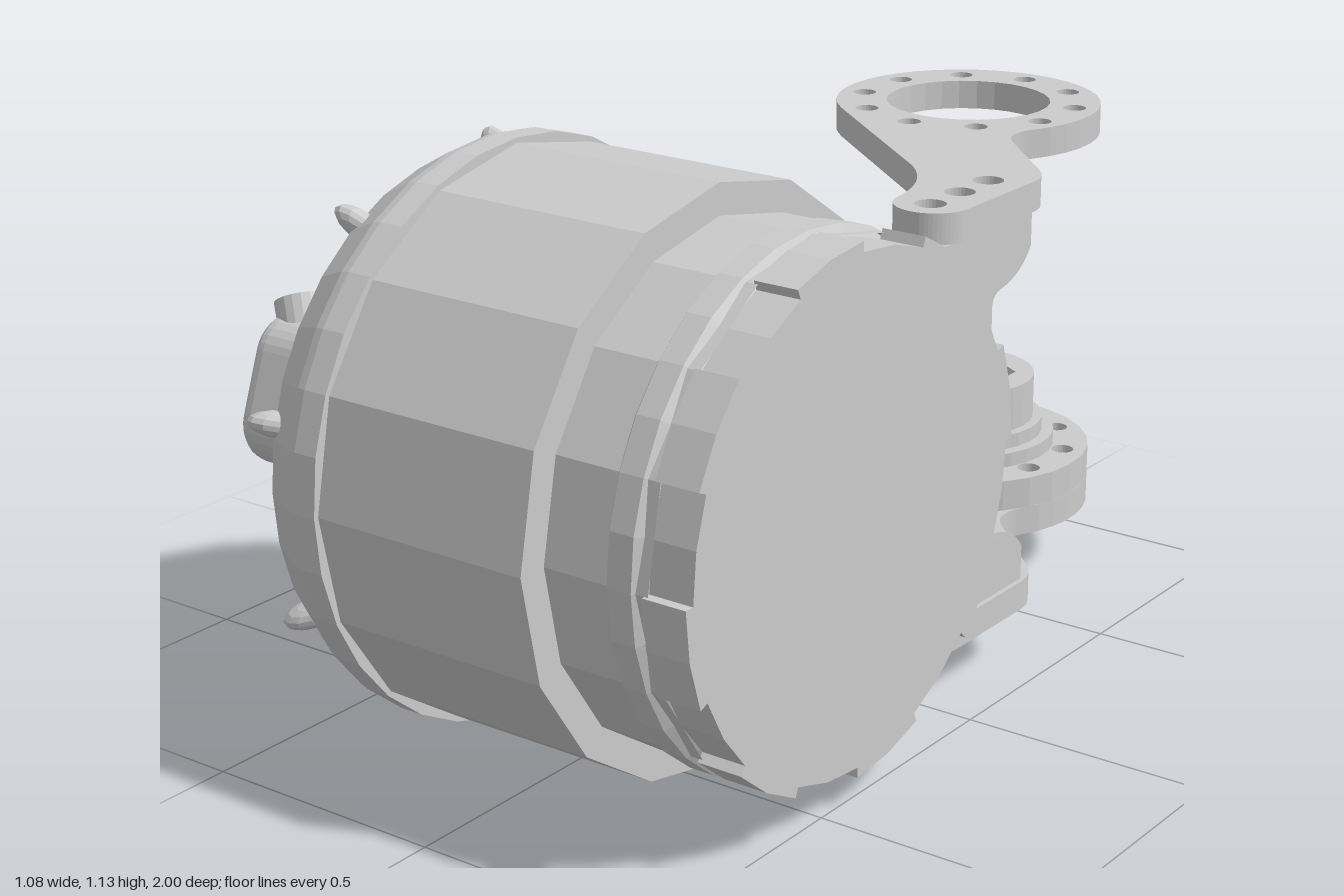
import * as THREE from 'three';

const CY = 0.565, CZ = 0.435; // motor axis, running along x
const RX = 0.012, RZ = -0.725; // mounting ring axis, running along y
const grey = new THREE.MeshStandardMaterial({ color: 0xcccccc, flatShading: true, side: THREE.DoubleSide });
const green = new THREE.MeshStandardMaterial({ color: 0x3f9a35 });
const rad = THREE.MathUtils.degToRad;

function add(parent, name, geo, mat = grey) {
  const m = new THREE.Mesh(geo, mat);
  m.name = name;
  parent.add(m);
  return m;
}

// Solid of revolution about x from [x, radius] pairs
function turned(pts, sides) {
  return new THREE.LatheGeometry(pts.map(([x, r]) => new THREE.Vector2(r, x)), sides).rotateZ(-Math.PI / 2);
}

function hole(shape, x, y, r, sides = 0) {
  const p = new THREE.Path();
  if (sides) {
    for (let i = 0; i < sides; i++) {
      const a = rad(90) - i / sides * Math.PI * 2;
      p[i ? 'lineTo' : 'moveTo'](x + r * Math.cos(a), y + r * Math.sin(a));
    }
    p.closePath();
  } else p.absarc(x, y, r, 0, Math.PI * 2, true);
  shape.holes.push(p);
}

// Upward slab drawn in (x, -z)
function slab(shape, y0, y1) {
  return new THREE.ExtrudeGeometry(shape, { depth: y1 - y0, bevelEnabled: false, curveSegments: 14 })
    .rotateX(-Math.PI / 2).translate(0, y0, 0);
}

function ringHoles(s) {
  hole(s, RX, -RZ, 0.17);
  for (let i = 0; i < 10; i++) {
    const a = rad(90 + i * 36);
    hole(s, RX + 0.225 * Math.cos(a), -RZ + 0.225 * Math.sin(a), 0.024);
  }
}

function disc(r) {
  const s = new THREE.Shape();
  s.absarc(RX, -RZ, r, 0, Math.PI * 2);
  return s;
}

// Arm: drilled ring, diagonal neck and rounded foot
function armShape() {
  const s = new THREE.Shape();
  s.absarc(RX, -RZ, 0.275, rad(-30), rad(230));
  s.lineTo(0.2, 0.22);
  s.quadraticCurveTo(0.29, 0.14, 0.305, 0.02);
  s.absarc(0.38, 0.02, 0.075, Math.PI, Math.PI * 2);
  s.lineTo(0.455, 0.25);
  s.quadraticCurveTo(0.455, 0.30, 0.41, 0.34);
  s.lineTo(0.27, 0.48);
  s.quadraticCurveTo(0.22, 0.53, RX + 0.275 * Math.cos(rad(-30)), -RZ + 0.275 * Math.sin(rad(-30)));
  ringHoles(s);
  for (const y of [0.01, 0.11, 0.21]) hole(s, 0.38, y, 0.03);
  return s;
}

function buildMotor() {
  const g = new THREE.Group();
  g.name = 'motor';
  g.position.set(0, CY, CZ);
  add(g, 'housing', turned([[-0.25, 0.4], [-0.23, 0.555], [0.23, 0.555], [0.23, 0.4]], 16));
  add(g, 'neck', turned([[0.2, 0.495], [0.45, 0.495]], 16));
  add(g, 'collar', turned([[0.36, 0.49], [0.37, 0.502], [0.42, 0.502], [0.44, 0.47]], 32));

  // Rear cap with a sunken fan well
  add(g, 'rearCap', turned([[-0.37, 0], [-0.37, 0.19], [-0.455, 0.2], [-0.46, 0.22], [-0.455, 0.42], [-0.44, 0.45],
    [-0.38, 0.515], [-0.3, 0.56], [-0.28, 0.565], [-0.23, 0.565], [-0.23, 0.5]], 32));
  add(g, 'fanHub', turned([[-0.44, 0], [-0.44, 0.06], [-0.36, 0.065]], 20));
  for (let i = 0; i < 11; i++) {
    const blade = new THREE.BoxGeometry(0.01, 0.13, 0.06).rotateY(rad(40)).translate(-0.405, 0.12, 0);
    add(g, 'fanBlade', blade.rotateX(i / 11 * Math.PI * 2));
  }

  // Notched end disc
  const s = new THREE.Shape(), n = 16;
  for (let i = 0; i < n; i++) {
    const r = i % 2 ? 0.482 : 0.502;
    for (let k = 0; k <= 2; k++) {
      const a = (i + k / 2) / n * Math.PI * 2;
      s[i + k ? 'lineTo' : 'moveTo'](r * Math.cos(a), r * Math.sin(a));
    }
  }
  const end = new THREE.ExtrudeGeometry(s, { depth: 0.09, bevelEnabled: false });
  add(g, 'endDisc', end.rotateY(Math.PI / 2).translate(0.443, 0, 0));

  // Oval lugs around the cap's slope
  for (let i = 0; i < 8; i++) {
    const lug = new THREE.SphereGeometry(1, 12, 8).scale(0.06, 0.025, 0.03);
    lug.rotateY(rad(40)).translate(-0.375, 0, 0.505);
    add(g, 'lug', lug.rotateX(-rad(14 + i * 45)));
  }

  // Cable outlets: rounded bodies with an open socket at one end
  for (const [deg, r] of [[20, 0.37], [124, 0.43], [230, 0.39]]) {
    const o = new THREE.Group();
    o.name = 'cableOutlet';
    const st = new THREE.Shape();
    st.absarc(0.06, 0, 0.045, -Math.PI / 2, Math.PI / 2);
    st.absarc(-0.06, 0, 0.045, Math.PI / 2, Math.PI * 1.5);
    const body = new THREE.ExtrudeGeometry(st, {
      depth: 0.14, bevelThickness: 0.035, bevelSize: 0.035, bevelSegments: 4, curveSegments: 8
    });
    add(o, 'outletBody', body.rotateY(-Math.PI / 2).rotateX(-rad(90)).translate(-0.36, 0, 0));
    const socket = new THREE.LatheGeometry([[0.05, -0.06], [0.055, 0.06], [0.04, 0.06], [0.04, 0], [0, 0]]
      .map(p => new THREE.Vector2(...p)), 20);
    add(o, 'socket', socket.rotateZ(rad(25)).translate(-0.475, 0.11, 0));
    o.position.set(0, r * Math.sin(rad(deg)), r * Math.cos(rad(deg)));
    o.rotation.x = -rad(deg);
    g.add(o);
  }

  // Two rows of indicator lights on the rear face
  for (const mid of [-72, -35]) for (let i = -1; i <= 1; i++) {
    const light = new THREE.BoxGeometry(0.014, 0.055, 0.04).translate(-0.457, 0, 0.37);
    add(g, 'indicatorLight', light.rotateX(-rad(mid + i * 10)), green);
  }
  return g;
}

function buildBracket() {
  const g = new THREE.Group();
  g.name = 'bracket';
  add(g, 'upperArm', slab(armShape(), 0.945, 1.005));
  add(g, 'lowerArm', slab(armShape(), 0.13, 0.19));

  // Upright with flared ears, drawn in (-z, y)
  const s = new THREE.Shape();
  s.moveTo(-0.055, 0.19);
  s.lineTo(0.265, 0.19);
  s.lineTo(0.265, 0.26);
  s.quadraticCurveTo(0.23, 0.31, 0.16, 0.32);
  s.quadraticCurveTo(0.13, 0.325, 0.13, 0.35);
  s.lineTo(0.13, 0.785);
  s.quadraticCurveTo(0.13, 0.81, 0.16, 0.815);
  s.quadraticCurveTo(0.23, 0.825, 0.265, 0.875);
  s.lineTo(0.265, 0.945);
  s.lineTo(-0.055, 0.945);
  s.closePath();
  const up = new THREE.ExtrudeGeometry(s, { depth: 0.12, bevelEnabled: false, curveSegments: 8 });
  add(g, 'upright', up.rotateY(Math.PI / 2).translate(0.325, 0, 0));

  // Flange and stepped hub with a hexagonal bore
  const flange = disc(0.275);
  ringHoles(flange);
  add(g, 'flange', slab(flange, 0.19, 0.255));
  for (const [r, y0, y1] of [[0.2, 0.25, 0.285], [0.175, 0.285, 0.315], [0.155, 0.315, 0.41]]) {
    const step = disc(r);
    hole(step, RX, -RZ, 0.115, 6);
    add(g, 'hubStep', slab(step, y0, y1));
  }
  return g;
}

export function createModel() {
  const model = new THREE.Group();
  model.name = 'motorWithBracket';
  model.add(buildMotor(), buildBracket());
  return model;
}
